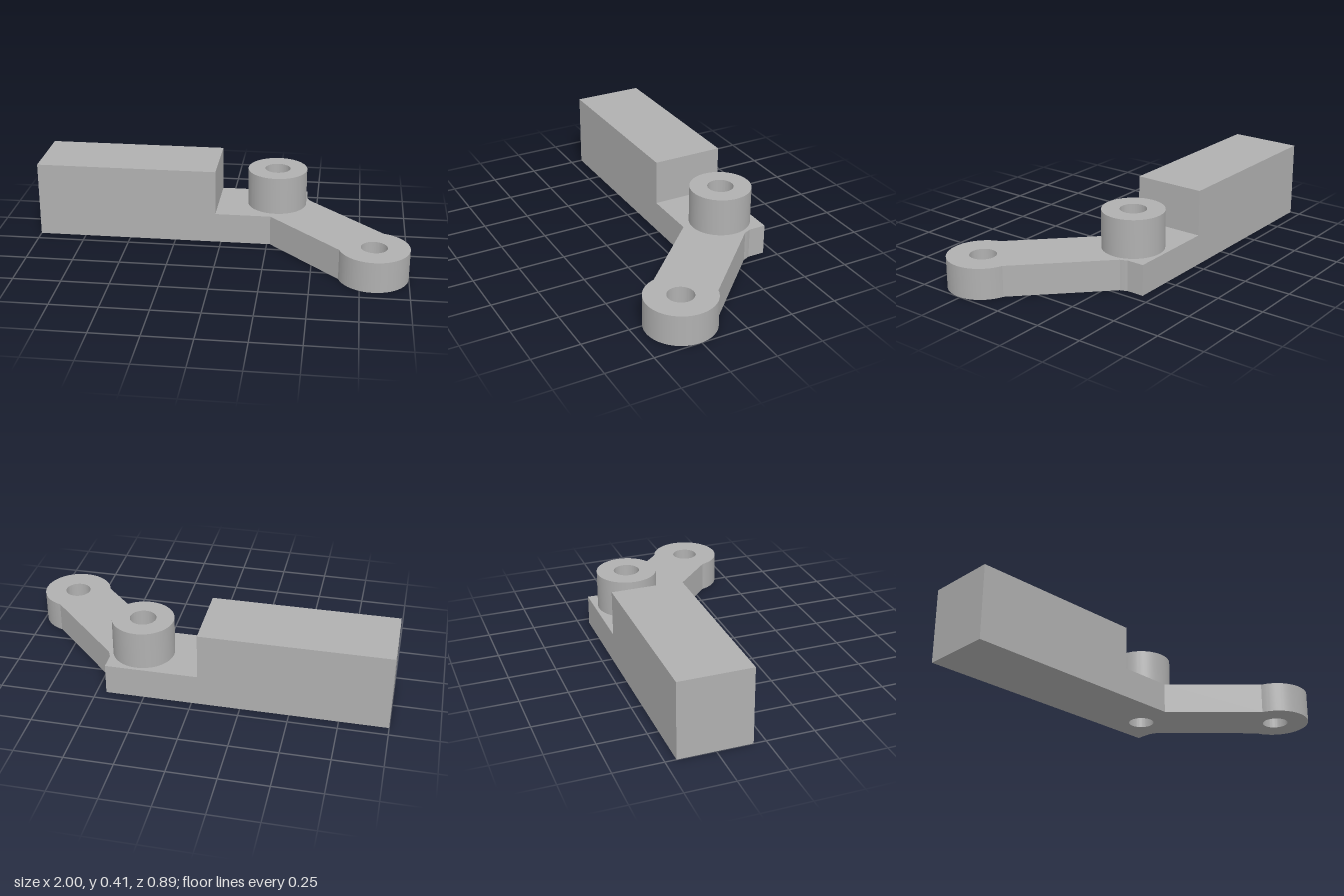
import * as THREE from 'three';
import { toCreasedNormals } from 'three/addons/utils/BufferGeometryUtils.js';

export function createModel() {
  const group = new THREE.Group();
  group.name = 'armBracket';
  const grey = new THREE.MeshStandardMaterial({ color: 0xb0b0b0 });
  grey.name = 'plain grey';

  // Main dimensions; plan outlines are drawn as (x, -z)
  const plateH = 0.163, blockH = 0.405, bossTop = 0.365;
  const back = 0.444, front = 0.064, step = -0.03, plateEnd = 0.45;
  const pivot = new THREE.Vector2(0.29, 0.266);
  const tip = new THREE.Vector2(0.818, -0.262);
  const discR = 0.182, halfWidth = 0.159, holeR = 0.068, bossR = 0.16;

  const add = (name, geometry) => {
    const mesh = new THREE.Mesh(geometry, grey);
    mesh.name = name;
    group.add(mesh);
  };
  const hole = (c) => new THREE.Path().absarc(c.x, c.y, holeR, 0, Math.PI * 2, true);
  const extrudeUp = (shape, y0, y1) => {
    const g = new THREE.ExtrudeGeometry(shape, { depth: y1 - y0, bevelEnabled: false, curveSegments: 48 });
    g.rotateX(-Math.PI / 2).translate(0, y0, 0);
    return toCreasedNormals(g, 0.4);
  };

  // Tall rectangular block
  const block = new THREE.BoxGeometry(step + 1, blockH, back - front);
  block.translate((step - 1) / 2, blockH / 2, -(back + front) / 2);
  add('block', block);

  // Low plate with the diagonal arm and its round eye, running at 45 degrees
  const bend = Math.PI / 4 - Math.asin(halfWidth / discR) + Math.PI / 4;
  const armStart = pivot.x + pivot.y - halfWidth * Math.SQRT2 - front;
  const plate = new THREE.Shape();
  plate.moveTo(step, front);
  plate.lineTo(armStart, front);
  const a = Math.asin(halfWidth / discR) - Math.PI / 4; // where arm edges meet the round ends
  plate.absarc(tip.x, tip.y, discR, -Math.PI + a, Math.PI / 2 - a, false);
  const cornerAngle = Math.acos((plateEnd - pivot.x) / discR);
  plate.absarc(pivot.x, pivot.y, discR, a, cornerAngle, false);
  plate.lineTo(plateEnd, back);
  plate.lineTo(step, back);
  plate.closePath();
  plate.holes.push(hole(pivot), hole(tip));
  add('plateAndArm', extrudeUp(plate, 0, plateH));

  // Hollow boss over the pivot hole
  const boss = new THREE.Shape().absarc(pivot.x, pivot.y, bossR, 0, Math.PI * 2, false);
  boss.holes.push(hole(pivot));
  add('boss', extrudeUp(boss, plateH, bossTop));

  return group;
}
